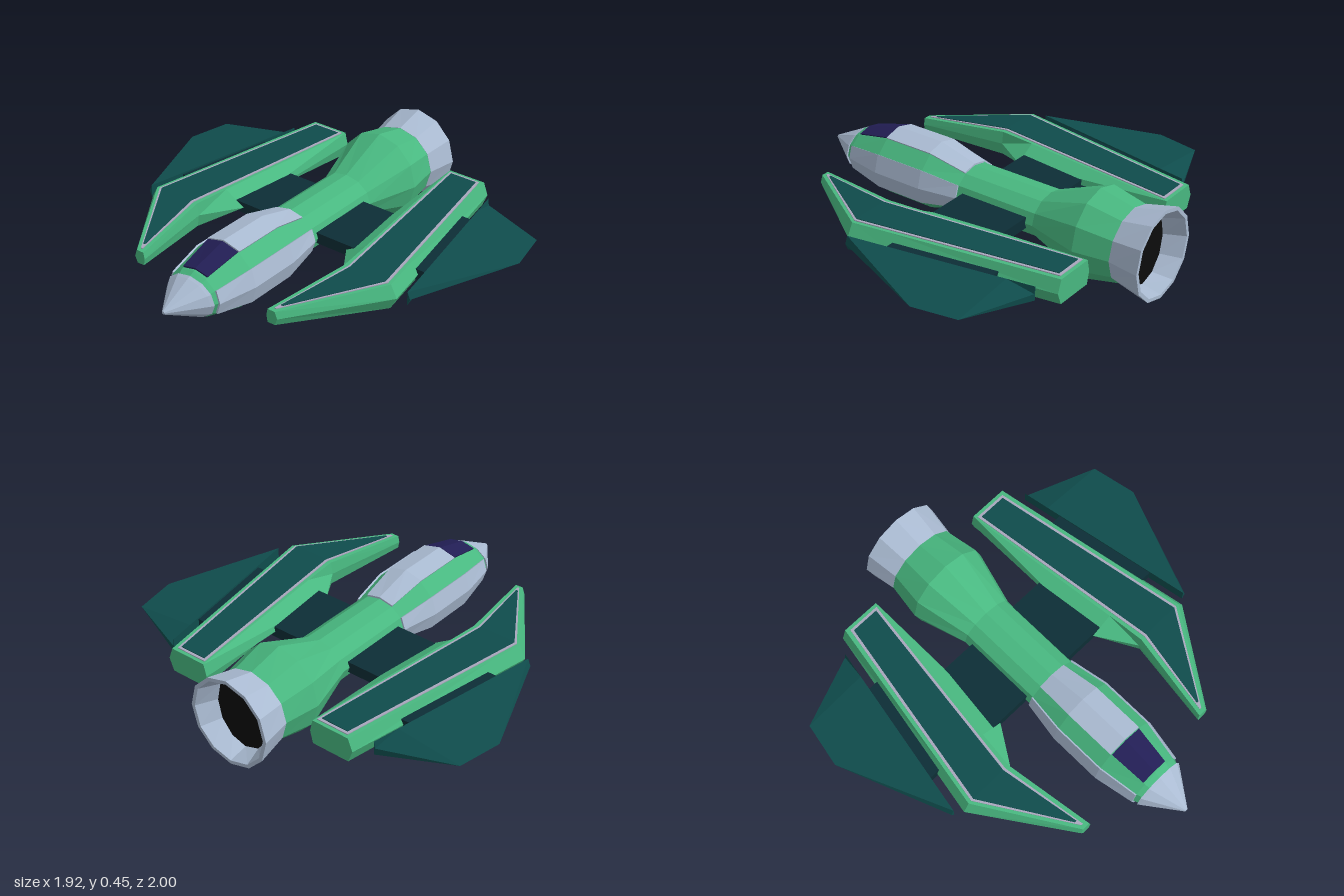
import * as THREE from 'three';

const AXIS = 0.228;
const mat = (name, color) => {
  const m = new THREE.MeshStandardMaterial({ color });
  m.name = name;
  return m;
};

// Closed faceted solid through rings of equal point count, turned outward by its volume.
function loft(rings) {
  const tris = [];
  const n = rings[0].length;
  for (let i = 0; i < rings.length - 1; i++) {
    for (let j = 0; j < n; j++) {
      const k = (j + 1) % n;
      const [a, b, c, d] = [rings[i][j], rings[i][k], rings[i + 1][k], rings[i + 1][j]];
      tris.push([a, b, c], [a, c, d]);
    }
  }
  const first = rings[0], last = rings[rings.length - 1];
  for (let j = 1; j < n - 1; j++) {
    tris.push([first[0], first[j + 1], first[j]], [last[0], last[j], last[j + 1]]);
  }
  let volume = 0;
  const v = (p) => new THREE.Vector3(...p);
  for (const [a, b, c] of tris) volume += v(a).dot(v(b).cross(v(c)));
  const pos = tris.flatMap(([a, b, c]) => (volume < 0 ? [a, c, b] : [a, b, c])).flat();
  const g = new THREE.BufferGeometry();
  g.setAttribute('position', new THREE.Float32BufferAttribute(pos, 3));
  g.computeVertexNormals();
  return g;
}

// Point on a hull section [x, ry, rz] at an angle in degrees (0 = +z, 90 = up).
const hullPoint = ([x, ry, rz], deg, lift = 0) => {
  const a = THREE.MathUtils.degToRad(deg);
  return [x, AXIS + (ry + lift) * Math.sin(a), (rz + lift) * Math.cos(a)];
};
const hull = (sections) =>
  loft(sections.map((s) => Array.from({ length: 12 }, (_, i) => hullPoint(s, i * 30))));

// Raised plating that follows the hull facets between angles.
const plating = (sections, angles, lift) =>
  loft(sections.map((s) => [
    ...angles.map((a) => hullPoint(s, a, lift)),
    ...[...angles].reverse().map((a) => hullPoint(s, a, -0.01)),
  ]));

export function createModel() {
  const root = new THREE.Group();
  root.name = 'spacecraft';
  const green = mat('hull green', 0x48b880);
  const grey = mat('pale grey', 0xaabbd2);
  const teal = mat('deep teal', 0x0f4c4c);
  const dark = mat('dark strut', 0x0d2e36);
  const violet = mat('canopy violet', 0x221e55);
  const black = mat('engine black', 0x0c0c0c);
  const trimMat = mat('trim grey', 0xa8a6bc);

  const add = (parent, name, geometry, material) => {
    const m = new THREE.Mesh(geometry, material);
    m.name = name;
    parent.add(m);
  };

  // Fuselage
  const front = [[-0.76, 0.113, 0.14], [-0.56, 0.167, 0.178], [-0.29, 0.167, 0.178], [-0.09, 0.112, 0.145]];
  add(root, 'fuselage', hull([
    [-0.785, 0.1, 0.13], ...front, [0.35, 0.112, 0.145], [0.62, 0.225, 0.222], [0.8, 0.185, 0.195],
  ]), green);
  add(root, 'noseCone', hull([[-0.965, 0.008, 0.008], [-0.8, 0.094, 0.13], [-0.785, 0.1, 0.14]]), grey);

  // Engine nozzle with a recessed dark core
  add(root, 'nozzle', hull([
    [0.8, 0.186, 0.196], [0.96, 0.226, 0.222], [0.96, 0.208, 0.203], [0.86, 0.188, 0.155],
  ]), grey);
  add(root, 'engineCore', hull([[0.858, 0.187, 0.154], [0.863, 0.187, 0.154]]), black);

  // Side plating, back plating and canopy
  add(root, 'leftSidePlating', plating(front, [-30, 0, 30], 0.009), grey);
  add(root, 'rightSidePlating', plating(front, [150, 180, 210], 0.009), grey);
  add(root, 'backPlating', plating(front.slice(1), [60, 90, 120], 0.009), grey);
  add(root, 'canopy', plating([[-0.75, 0.116, 0.142], [-0.565, 0.166, 0.177]], [61, 90, 119], 0.007), violet);

  // Wing assemblies, one per side
  for (const side of [1, -1]) {
    const wing = new THREE.Group();
    wing.name = side > 0 ? 'leftWing' : 'rightWing';
    root.add(wing);

    // Slab whose sections are [x, inner z, outer z, bottom y, top y]
    const slab = (sections) => loft(sections.map(([x, zi, zo, y0, y1]) => [
      [x, y0, side * zi], [x, y1, side * zi], [x, y1, side * zo], [x, y0, side * zo],
    ]));

    add(wing, 'innerStrut', slab([[-0.06, 0.05, 0.36, 0.2, 0.256], [0.31, 0.05, 0.36, 0.2, 0.256]]), dark);
    add(wing, 'outerStrut', slab([[-0.03, 0.6, 0.75, 0.2, 0.256], [0.49, 0.5, 0.65, 0.2, 0.256]]), dark);

    // Pod: [x, inner edge, inner top, outer top, outer edge, half height]
    add(wing, 'pod', loft([
      [-0.7, 0.36, 0.367, 0.407, 0.42, 0.034],
      [-0.25, 0.43, 0.44, 0.697, 0.73, 0.062],
      [-0.06, 0.31, 0.421, 0.664, 0.696, 0.062],
      [0.775, 0.31, 0.325, 0.523, 0.547, 0.062],
    ].map(([x, zi, ti, to, zo, h]) => [
      [x, 0.23, side * zi], [x, 0.23 + h, side * ti], [x, 0.23 + h, side * to],
      [x, 0.23, side * zo], [x, 0.23 - h, side * to], [x, 0.23 - h, side * ti],
    ])), green);

    // Inlaid top panel with a thin border
    add(wing, 'panelTrim', slab([
      [-0.68, 0.39, 0.4, 0.262, 0.269],
      [-0.25, 0.462, 0.68, 0.289, 0.296],
      [0.757, 0.336, 0.505, 0.289, 0.296],
    ]), trimMat);
    add(wing, 'panelInlay', slab([
      [-0.65, 0.402, 0.412, 0.267, 0.274],
      [-0.25, 0.475, 0.667, 0.292, 0.299],
      [0.743, 0.351, 0.494, 0.292, 0.299],
    ]), teal);

    // Fin: thick inner edge tapering to a sharp outer edge
    add(wing, 'fin', loft([
      [-0.22, 0.765, 0.78], [0.335, 0.665, 0.998], [0.56, 0.624, 0.955], [0.695, 0.6, 0.606],
    ].map(([x, zi, zo]) => [
      [x, 0.195, side * zi], [x, 0.265, side * zi], [x, 0.23, side * zo],
    ])), teal);
  }
  return root;
}
